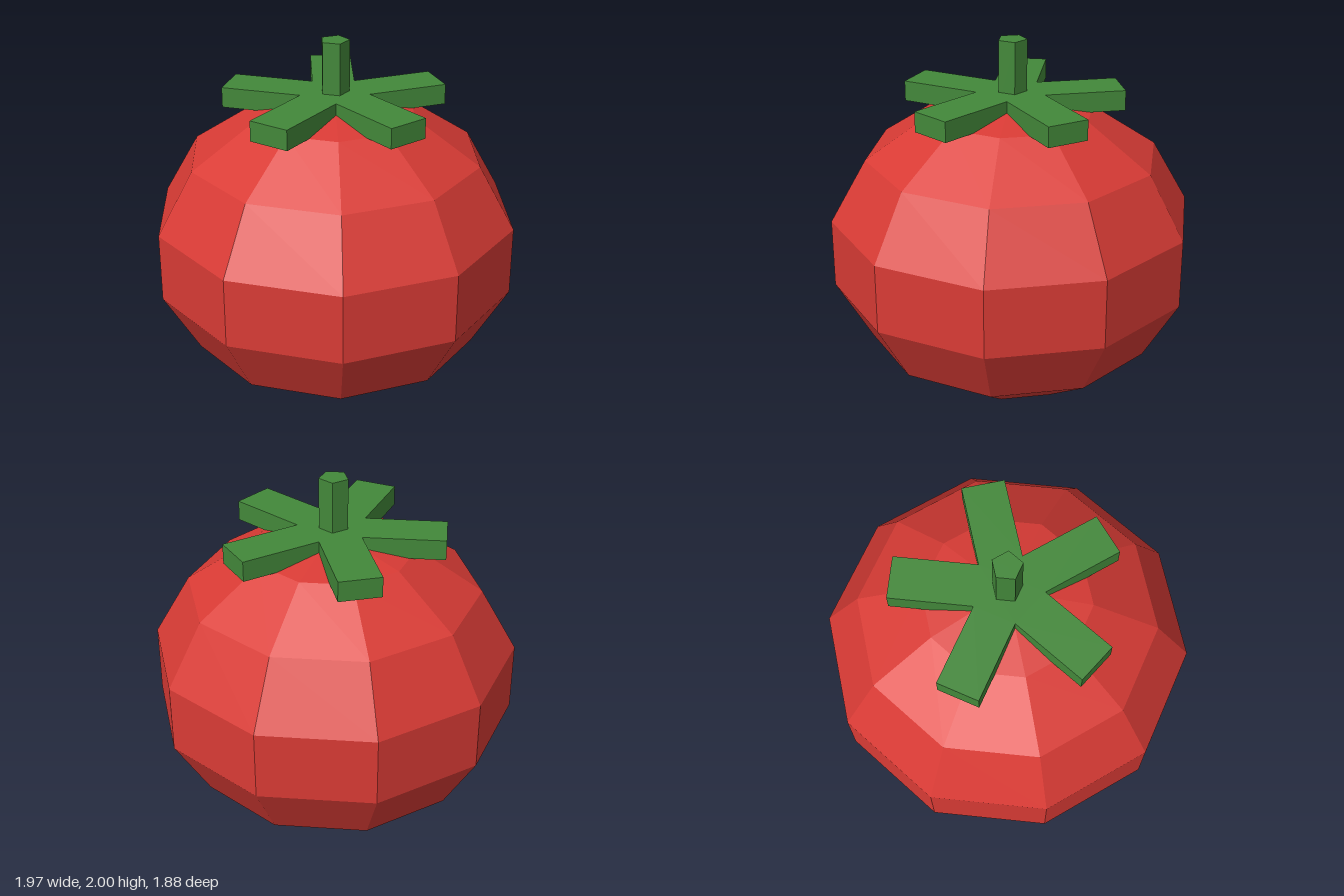
import * as THREE from 'three';

const red = new THREE.MeshStandardMaterial({ color: 0xd93b35, flatShading: true });
const green = new THREE.MeshStandardMaterial({ color: 0x43883a, flatShading: true });

function addPart(group, name, geometry, material, y) {
  const mesh = new THREE.Mesh(geometry, material);
  mesh.name = name;
  mesh.position.y = y;
  group.add(mesh);
}

// Five straight leaves radiating from the centre, as one star outline
function leafStar(length, halfWidth, thickness) {
  const points = [];
  const step = (Math.PI * 2) / 5;
  const notch = halfWidth / Math.sin(step / 2);
  for (let i = 0; i < 5; i++) {
    const a = i * step;
    const dir = new THREE.Vector2(Math.cos(a), Math.sin(a));
    const side = new THREE.Vector2(-dir.y, dir.x).multiplyScalar(halfWidth);
    const tip = dir.clone().multiplyScalar(length);
    points.push(tip.clone().sub(side), tip.clone().add(side));
    points.push(new THREE.Vector2(Math.cos(a + step / 2), Math.sin(a + step / 2)).multiplyScalar(notch));
  }
  const geometry = new THREE.ExtrudeGeometry(new THREE.Shape(points), { depth: thickness, bevelEnabled: false });
  return geometry.rotateX(-Math.PI / 2);
}

export function createModel() {
  const model = new THREE.Group();
  model.name = 'tomato';

  // Squashed low-poly fruit
  const fruit = new THREE.SphereGeometry(1, 10, 7).scale(1.012, 0.847, 1.012);
  fruit.translate(0, 0.847, 0);
  addPart(model, 'fruit', fruit, red, 0);

  // Leafy crown and five-sided stem
  addPart(model, 'leaves', leafStar(0.59, 0.113, 0.11), green, 1.61);
  addPart(model, 'stem', new THREE.CylinderGeometry(0.08, 0.08, 0.34, 5), green, 1.83);

  return model;
}
